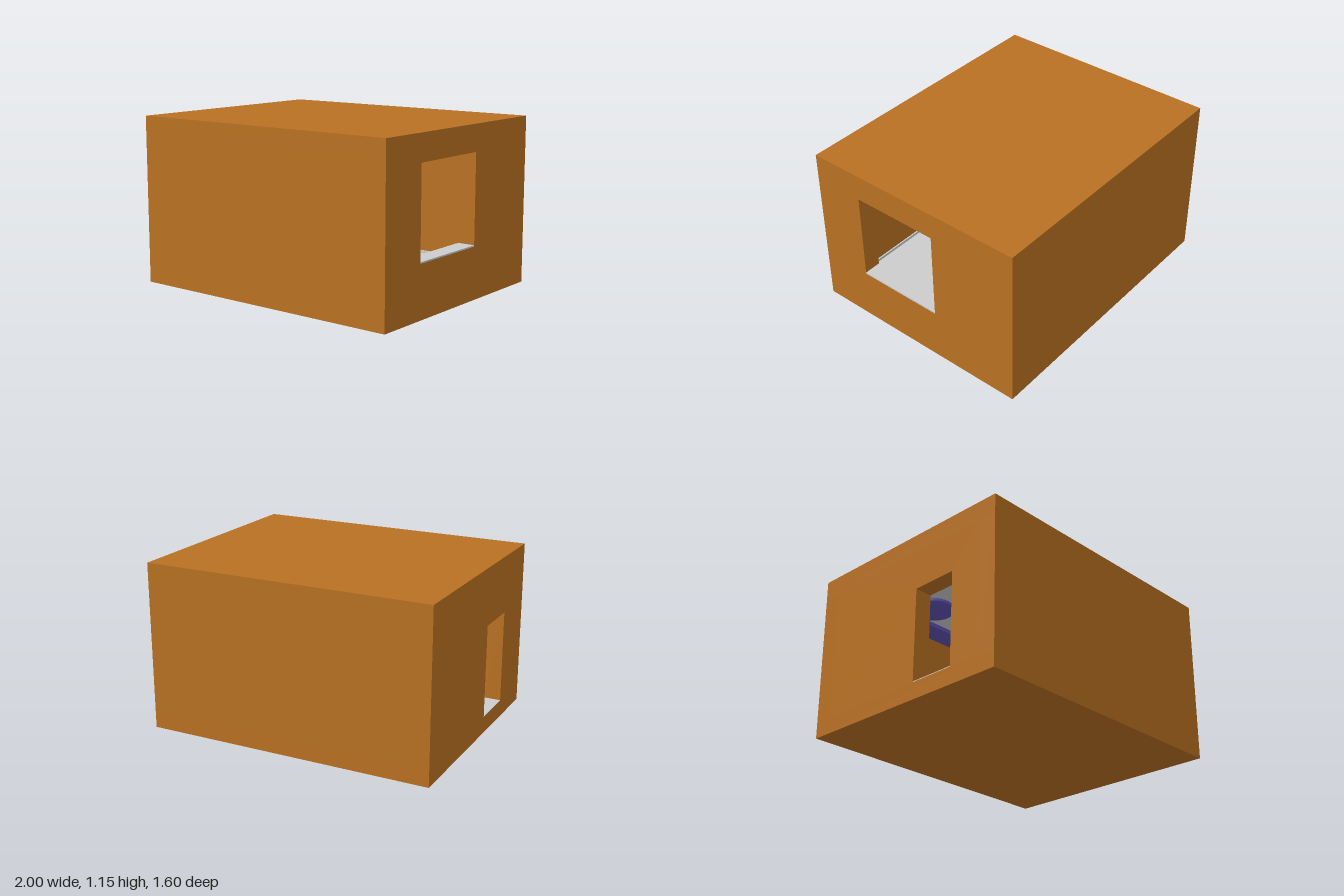
import * as THREE from 'three';

const ORANGE = new THREE.MeshStandardMaterial({ color: 0xb87022 });
const GREY = new THREE.MeshStandardMaterial({ color: 0xcccccc });
const PURPLE = new THREE.MeshStandardMaterial({ color: 0x5f52b1 });

const W = 2, H = 1.15, D = 1.6, T = 0.12; // outer size and wall thickness

export function createModel() {
  const model = new THREE.Group();

  const add = (name, geometry, material, x = 0, y = 0, z = 0) => {
    const mesh = new THREE.Mesh(geometry, material);
    mesh.name = name;
    mesh.position.set(x, y, z);
    model.add(mesh);
    return mesh;
  };
  // box given by its lower and upper corners
  const box = (name, material, [x0, y0, z0], [x1, y1, z1]) =>
    add(name, new THREE.BoxGeometry(x1 - x0, y1 - y0, z1 - z0), material,
      (x0 + x1) / 2, (y0 + y1) / 2, (z0 + z1) / 2);
  // rectangle outline, as a shape or as a hole
  const rect = (Type, u0, v0, u1, v1) => new Type([
    new THREE.Vector2(u0, v0), new THREE.Vector2(u1, v0),
    new THREE.Vector2(u1, v1), new THREE.Vector2(u0, v1)]);
  const plate = (outer, hole, depth) => {
    outer.holes.push(hole);
    return new THREE.ExtrudeGeometry(outer, { depth, bevelEnabled: false });
  };

  const ix = W / 2 - T, iz = D / 2 - T, top = H - T;

  // base, roof and the two closed walls
  box('base', ORANGE, [-1, 0, -0.8], [1, T - 0.01, 0.8]);
  box('roof', ORANGE, [-1, top, -0.8], [1, H, 0.8]);
  box('frontWall', ORANGE, [-1, T - 0.01, iz], [1, top, 0.8]);
  box('backWall', ORANGE, [-1, T - 0.01, -0.8], [1, top, -iz]);

  // side walls with an opening; shape u runs along -z
  const sideWall = (name, x, z0, y0, z1, y1) => {
    const outer = rect(THREE.Shape, -iz, T - 0.01, iz, top);
    const hole = rect(THREE.Path, -z1, y0, -z0, y1);
    add(name, plate(outer, hole, T), ORANGE, x).rotation.y = Math.PI / 2;
  };
  sideWall('windowWall', ix, -0.17, 0.355, 0.44, 0.97);
  sideWall('doorWall', -1, 0.12, T - 0.005, 0.44, 0.755);

  // grey floor, sills and low skirting
  box('floor', GREY, [-ix, T - 0.01, -iz], [ix, T, iz]);
  box('windowSill', GREY, [ix, 0.355, -0.17], [1, 0.365, 0.44]);
  box('doorSill', GREY, [-1, T - 0.005, 0.12], [-ix, T, 0.44]);
  for (const s of [-1, 1]) {
    const z = s * (iz - 0.005);
    box('skirting', GREY, [-ix, T, z - 0.005], [ix, T + 0.02, z + 0.005]);
  }

  // ceiling panel with a purple border and round fittings
  box('ceilingPanel', GREY, [-ix, top - 0.01, -iz], [ix, top, iz]);
  const border = plate(rect(THREE.Shape, -ix, -iz, ix, iz),
    rect(THREE.Path, -0.79, -0.52, 0.79, 0.52), 0.03);
  add('ceilingBorder', border, PURPLE, 0, top - 0.01, 0).rotation.x = Math.PI / 2;
  for (const x of [-0.42, 0.42])
    for (const z of [-0.36, 0.36])
      add('ceilingFitting', new THREE.CylinderGeometry(0.15, 0.15, 0.02, 32), PURPLE, x, top - 0.02, z);

  return model;
}
